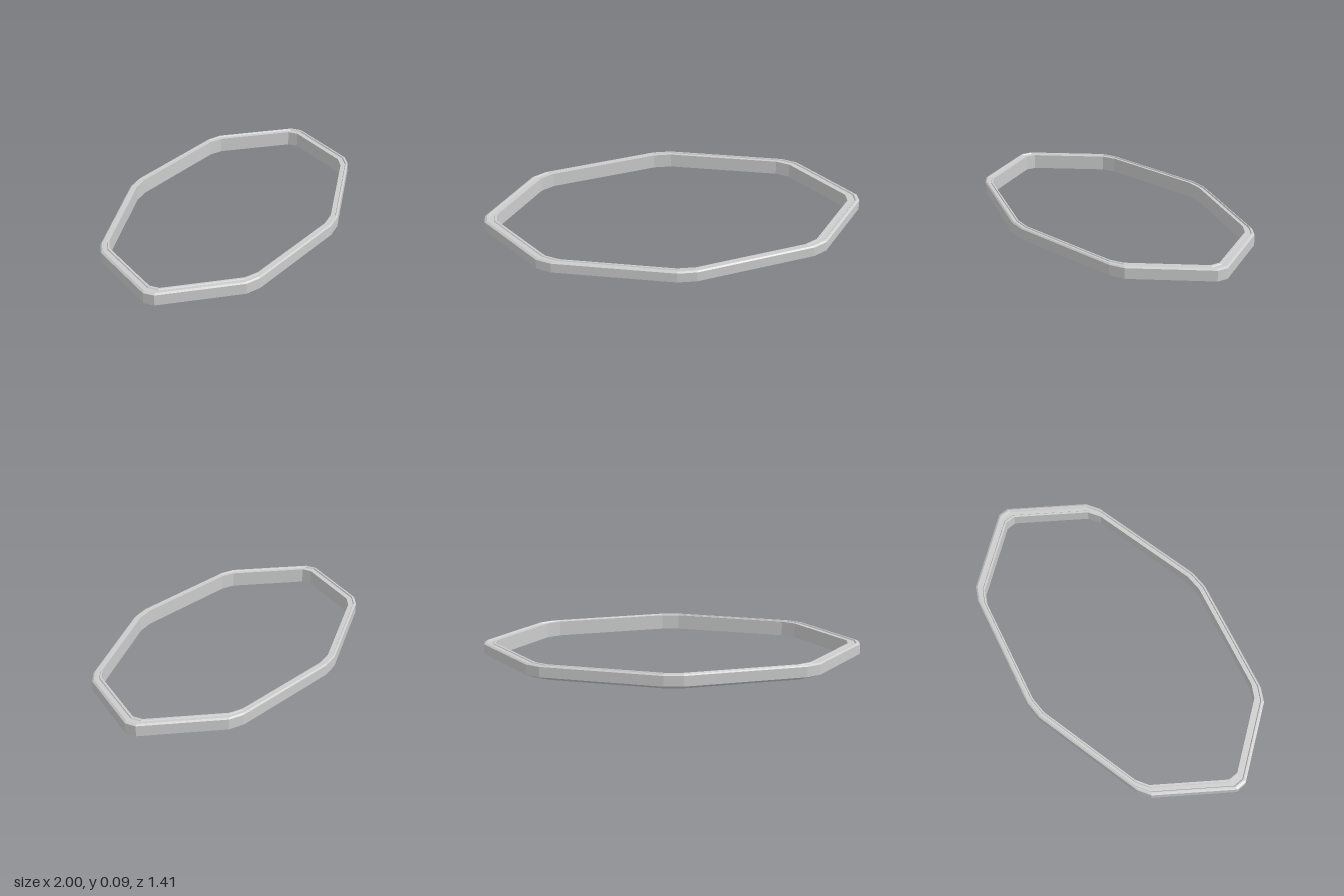
import * as THREE from 'three';

// Two conjugate half-axes turn a regular octagon into the skewed, stretched outline.
const U = new THREE.Vector2(0.53, -0.715);
const V = new THREE.Vector2(0.895, 0.10);
const CORNER_CUT = 0.07;

// Cross-section as [scale of outline, height], going up the outside and down the inside.
const PROFILE = [
  [0.94, 0], [1, 0.022], [1, 0.081], [0.988, 0.088], [0.98, 0.088], [0.975, 0.081],
  [0.952, 0.081], [0.948, 0.086], [0.935, 0.086], [0.935, 0],
];

// Octagon with every corner cut off: 16 points.
function outline() {
  const corner = (k) => {
    const a = (k * Math.PI) / 4;
    return U.clone().multiplyScalar(Math.cos(a)).addScaledVector(V, Math.sin(a));
  };
  const points = [];
  for (let k = 0; k < 8; k++) {
    const c = corner(k);
    points.push(c.clone().lerp(corner(k - 1), CORNER_CUT), c.clone().lerp(corner(k + 1), CORNER_CUT));
  }
  return points;
}

// Sweep the cross-section around the outline with separate, flat-shaded facets.
function ringGeometry(points, profile) {
  const positions = [];
  const at = (i, j) => {
    const [s, y] = profile[i % profile.length];
    const p = points[j % points.length];
    return [p.x * s, y, p.y * s];
  };
  for (let j = 0; j < points.length; j++) {
    for (let i = 0; i < profile.length; i++) {
      const a = at(i, j), b = at(i + 1, j), c = at(i + 1, j + 1), d = at(i, j + 1);
      positions.push(...a, ...b, ...c, ...a, ...c, ...d);
    }
  }
  const geometry = new THREE.BufferGeometry();
  geometry.setAttribute('position', new THREE.Float32BufferAttribute(positions, 3));
  geometry.computeVertexNormals();
  return geometry;
}

export function createModel() {
  const group = new THREE.Group();
  group.name = 'octagonalFrame';
  const material = new THREE.MeshStandardMaterial({ color: 0xcccccc, flatShading: true });
  const rim = new THREE.Mesh(ringGeometry(outline(), PROFILE), material);
  rim.name = 'groovedRim';
  group.add(rim);
  return group;
}
